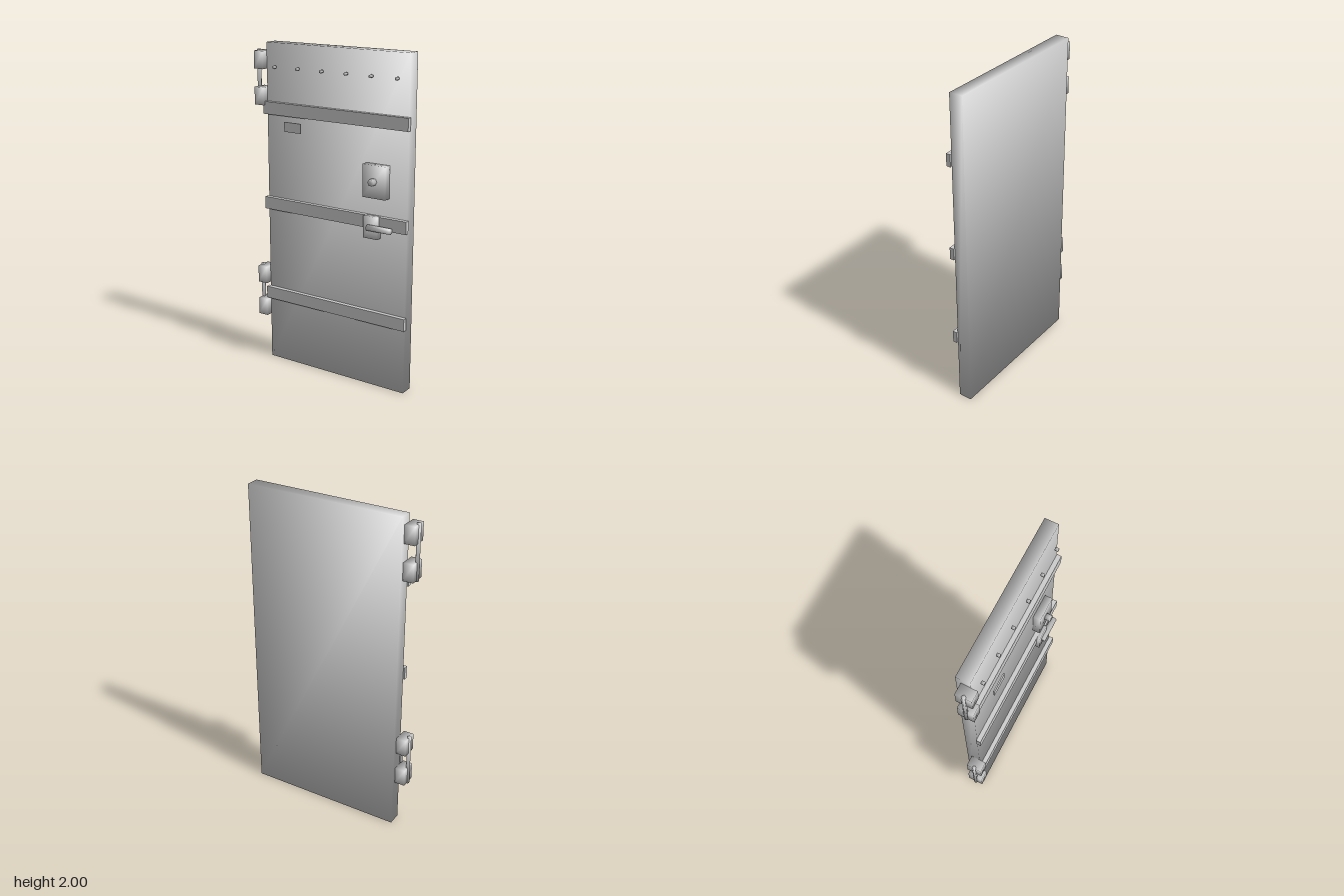
import * as THREE from 'three';

const material = new THREE.MeshStandardMaterial({ color: 0xcccccc });

// Points every normal outward from the middle, so shading flows over all edges
function softenNormals(geometry, halfX, halfY, halfZ) {
  const { position, normal } = geometry.attributes;
  const n = new THREE.Vector3();
  const half = new THREE.Vector3(halfX, halfY, halfZ);
  for (let i = 0; i < position.count; i++) {
    n.fromBufferAttribute(position, i).divide(half).normalize();
    normal.setXYZ(i, n.x, n.y, n.z);
  }
  return geometry;
}

// Low-poly rod along y with soft shading
function rod(radius, length, sides) {
  return softenNormals(new THREE.CylinderGeometry(radius, radius, length, sides), radius, length / 2, radius);
}

export function createModel() {
  const model = new THREE.Group();
  model.name = 'door';

  const add = (name, geometry, x, y, z) => {
    const mesh = new THREE.Mesh(geometry, material);
    mesh.name = name;
    mesh.position.set(x, y, z);
    model.add(mesh);
  };

  // Box given by its limits, with crisp or soft shading
  const box = (name, [x0, x1], [y0, y1], [z0, z1], soft = false) => {
    const [w, h, d] = [x1 - x0, y1 - y0, z1 - z0];
    const geometry = new THREE.BoxGeometry(w, h, d);
    if (soft) softenNormals(geometry, w / 2, h / 2, d / 2);
    add(name, geometry, (x0 + x1) / 2, (y0 + y1) / 2, (z0 + z1) / 2);
  };

  // Door leaf
  box('doorPanel', [-0.455, 0.516], [0, 2], [-0.082, 0], true);

  // Three reinforcing bars
  for (const y of [0.405, 0.99, 1.577]) {
    box('crossBar', [-0.465, 0.527], [y, y + 0.075], [0, 0.027]);
  }

  // Row of studs along the top
  const stud = rod(0.01, 0.02, 6).rotateX(Math.PI / 2);
  for (let i = 0; i < 6; i++) add('stud', stud, -0.379 + i * 0.166, 1.86, 0.026);

  // Small label plate
  box('labelPlate', [-0.301, -0.184], [1.488, 1.546], [0.035, 0.043]);

  // Lock plate with its knob
  box('lockPlate', [0.249, 0.4], [1.175, 1.367], [0, 0.046], true);
  const knob = rod(0.021, 0.04, 6).rotateX(Math.PI / 2).rotateZ(Math.PI / 2);
  add('lockKnob', knob, 0.324, 1.273, 0.061);

  // Latch plate with its lever
  box('latchPlate', [0.256, 0.351], [0.934, 1.065], [0.008, 0.046], true);
  add('latchLever', rod(0.019, 0.155, 8).rotateZ(Math.PI / 2), 0.364, 1.0, 0.05);

  // Two hinges, each a pair of knuckles on one pin
  const pin = rod(0.013, 0.33, 6).rotateY(Math.PI / 2);
  for (const y of [0.45, 1.79]) {
    for (const side of [-1, 1]) {
      const mid = y + side * 0.107;
      box('hingeKnuckle', [-0.519, -0.455], [mid - 0.053, mid + 0.053], [-0.054, 0.041], true);
    }
    add('hingePin', pin, -0.516, y, -0.006);
  }

  return model;
}
